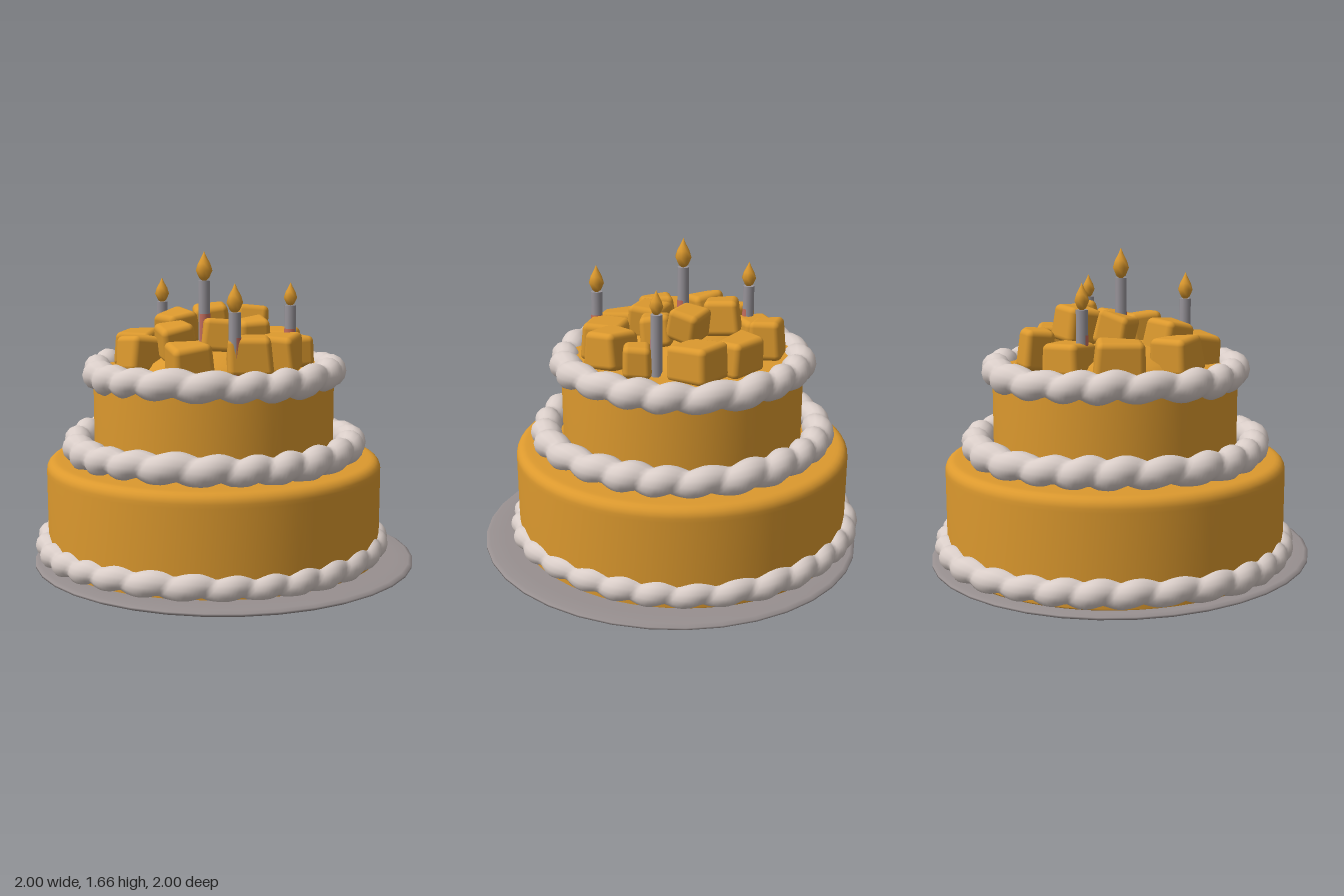
import * as THREE from 'three';
import { RoundedBoxGeometry } from 'three/addons/geometries/RoundedBoxGeometry.js';

const material = (name, color) => {
  const m = new THREE.MeshStandardMaterial({ color });
  m.name = name;
  return m;
};

const lathe = (points, sides) =>
  new THREE.LatheGeometry(points.map(([x, y]) => new THREE.Vector2(x, y)), sides);

// Cake layer with a rounded top edge
function tierGeometry(radius, bottom, top) {
  const e = 0.05, points = [[0, bottom], [radius - 0.01, bottom], [radius, bottom + 0.01], [radius, top - e - 0.02]];
  for (let i = 0; i <= 5; i++) {
    const a = (i / 5) * Math.PI / 2;
    points.push([radius - e + e * Math.cos(a), top - e + e * Math.sin(a)]);
  }
  points.push([radius - e - 0.02, top], [0, top]);
  return lathe(points, 64);
}

// Ring of piped cream: a torus whose thickness swells in slanted blobs
function creamGeometry(radius, thickness, blobs) {
  const U = blobs * 10, V = 14, positions = [], index = [];
  for (let i = 0; i < U; i++) {
    const u = (i / U) * Math.PI * 2;
    for (let j = 0; j < V; j++) {
      const v = (j / V) * Math.PI * 2;
      const swell = Math.abs(Math.sin((blobs * u + v + 0.6 * Math.sin(5 * u)) / 2));
      const r = thickness * (0.7 + 0.32 * swell + 0.04 * Math.sin(7 * u + 1));
      const d = radius + r * Math.cos(v);
      positions.push(d * Math.cos(u), r * Math.sin(v) + 0.006 * Math.sin(4 * u), d * Math.sin(u));
      const a = i * V + j, b = ((i + 1) % U) * V + j;
      const c = i * V + (j + 1) % V, e = ((i + 1) % U) * V + (j + 1) % V;
      index.push(a, c, b, b, c, e);
    }
  }
  const g = new THREE.BufferGeometry();
  g.setAttribute('position', new THREE.Float32BufferAttribute(positions, 3));
  g.setIndex(index);
  g.computeVertexNormals();
  return g;
}

// Soft, slightly skewed fruit cube
function cubeGeometry(w, h, d, k) {
  const g = new RoundedBoxGeometry(w, h, d, 3, 0.03);
  const p = g.attributes.position;
  for (let i = 0; i < p.count; i++) {
    const x = p.getX(i), y = p.getY(i), z = p.getZ(i);
    const taper = 1 - 0.5 * y;
    p.setXYZ(i, x * taper + 0.8 * Math.sin(k) * y * z, y + 0.9 * Math.cos(k * 2) * x * z, z * taper + 0.12 * Math.sin(k * 3) * x);
  }
  return g;
}

export function createModel() {
  const sponge = material('orange icing', 0xdc992e);
  const cream = material('whipped cream', 0xd9cdc8);
  const silver = material('grey plate', 0x989090);
  const wax = material('grey wax', 0x98949a);
  const red = material('red wax', 0xc46e5e);

  const model = new THREE.Group();
  model.name = 'cake';
  const add = (parent, name, geometry, mat, x = 0, y = 0, z = 0) => {
    const mesh = new THREE.Mesh(geometry, mat);
    mesh.name = name;
    mesh.position.set(x, y, z);
    parent.add(mesh);
    return mesh;
  };

  // Plate, tipped a little to the back
  const plate = add(model, 'plate', lathe(
    [[0, 0.02], [0.9, 0.02], [0.98, 0.04], [1, 0.05], [1, 0.06], [0.98, 0.07], [0.9, 0.07], [0, 0.07]], 36), silver);
  plate.rotation.x = -0.02;

  // Two tiers and three cream borders, set off-centre on the plate
  const C = -0.05;
  add(model, 'lowerTier', tierGeometry(0.88, 0.06, 0.59), sponge, C, 0, C);
  add(model, 'upperTier', tierGeometry(0.63, 0.57, 1.07), sponge, C, 0, C);
  add(model, 'bottomCream', creamGeometry(0.87, 0.07, 30), cream, -0.06, 0.14, -0.06);
  add(model, 'middleCream', creamGeometry(0.72, 0.08, 24), cream, C, 0.66, C);
  add(model, 'topCream', creamGeometry(0.61, 0.08, 20), cream, C, 1.04, C);

  // Fruit cubes: x, y, z, width, height, depth, turn, tilt
  const fruit = new THREE.Group();
  fruit.name = 'fruitCubes';
  model.add(fruit);
  const lower = [
    [-0.44, 1.15, -0.2, 0.2, 0.18, 0.24, -0.35, 0.05],
    [-0.43, 1.15, 0.11, 0.2, 0.18, 0.2, 0.5, -0.05],
    [-0.2, 1.14, 0.34, 0.2, 0.17, 0.2, 0.25, 0.08],
    [0.1, 1.16, 0.31, 0.22, 0.19, 0.22, -0.05, 0],
    [0.26, 1.16, 0.23, 0.2, 0.19, 0.2, -0.4, 0.05],
    [0.38, 1.15, 0.06, 0.14, 0.16, 0.14, 0.2, 0],
    [0.32, 1.15, -0.23, 0.22, 0.18, 0.22, -0.3, 0.05],
    [0.16, 1.15, -0.4, 0.24, 0.18, 0.16, -0.5, -0.05],
    [-0.08, 1.17, -0.49, 0.16, 0.2, 0.16, 0.1, 0.06],
    [-0.27, 1.14, -0.39, 0.2, 0.16, 0.18, 0.5, 0]];
  const upper = [
    [-0.24, 1.26, -0.13, 0.18, 0.17, 0.17, 0.75, 0.15],
    [-0.05, 1.28, -0.26, 0.19, 0.18, 0.18, 0.05, 0.1],
    [0.16, 1.29, -0.14, 0.17, 0.16, 0.16, -0.15, -0.2],
    [0.15, 1.24, 0.03, 0.16, 0.16, 0.16, 0.1, 0.12],
    [-0.03, 1.24, 0.12, 0.18, 0.17, 0.18, -0.05, -0.1],
    [-0.26, 1.22, 0.15, 0.18, 0.17, 0.18, 0.3, 0.12]];
  [...lower, ...upper].forEach(([x, y, z, w, h, d, turn, tilt], i) => {
    const cube = add(fruit, 'fruitCube', cubeGeometry(w, h, d, i + 1), sponge, x, y, z);
    cube.rotation.set(tilt, turn, tilt * 0.8);
  });
  // Fruit filling beneath the top cubes
  add(fruit, 'fruitFilling', lathe([[0.44, 1.06], [0.4, 1.11], [0.3, 1.16], [0.15, 1.19], [0, 1.19]], 20), sponge, -0.06, 0, -0.05);

  // Candles: x, z, top of stick, flame height, direction of the red side
  const candles = [
    [-0.31, -0.34, 1.38, 0.14, 0],
    [-0.1, -0.04, 1.51, 0.16, 0.4],
    [0.02, 0.39, 1.38, 0.15, Math.PI / 2],
    [0.35, -0.03, 1.38, 0.13, -0.6]];
  for (const [x, z, top, h, side] of candles) {
    const candle = new THREE.Group();
    candle.name = 'candle';
    candle.position.set(x, 0, z);
    model.add(candle);
    const length = top - 1.06;
    add(candle, 'stick', new THREE.CylinderGeometry(0.03, 0.03, length, 10), wax, 0, 1.06 + length / 2);
    const redLength = length * 0.62;
    add(candle, 'redWax', new THREE.CylinderGeometry(0.032, 0.032, redLength, 6, 1, true, side - 1.4, 2.8),
      red, 0, 1.06 + redLength / 2);
    add(candle, 'wick', new THREE.CylinderGeometry(0.008, 0.008, 0.03, 6), wax, 0, top + 0.01);
    const r = h * 0.27;
    add(candle, 'flame', lathe([[0, 0], [r * 0.6, h * 0.14], [r, h * 0.38], [r * 0.75, h * 0.6], [r * 0.3, h * 0.82], [0, h]], 8),
      sponge, 0, top - 0.01);
  }
  return model;
}
